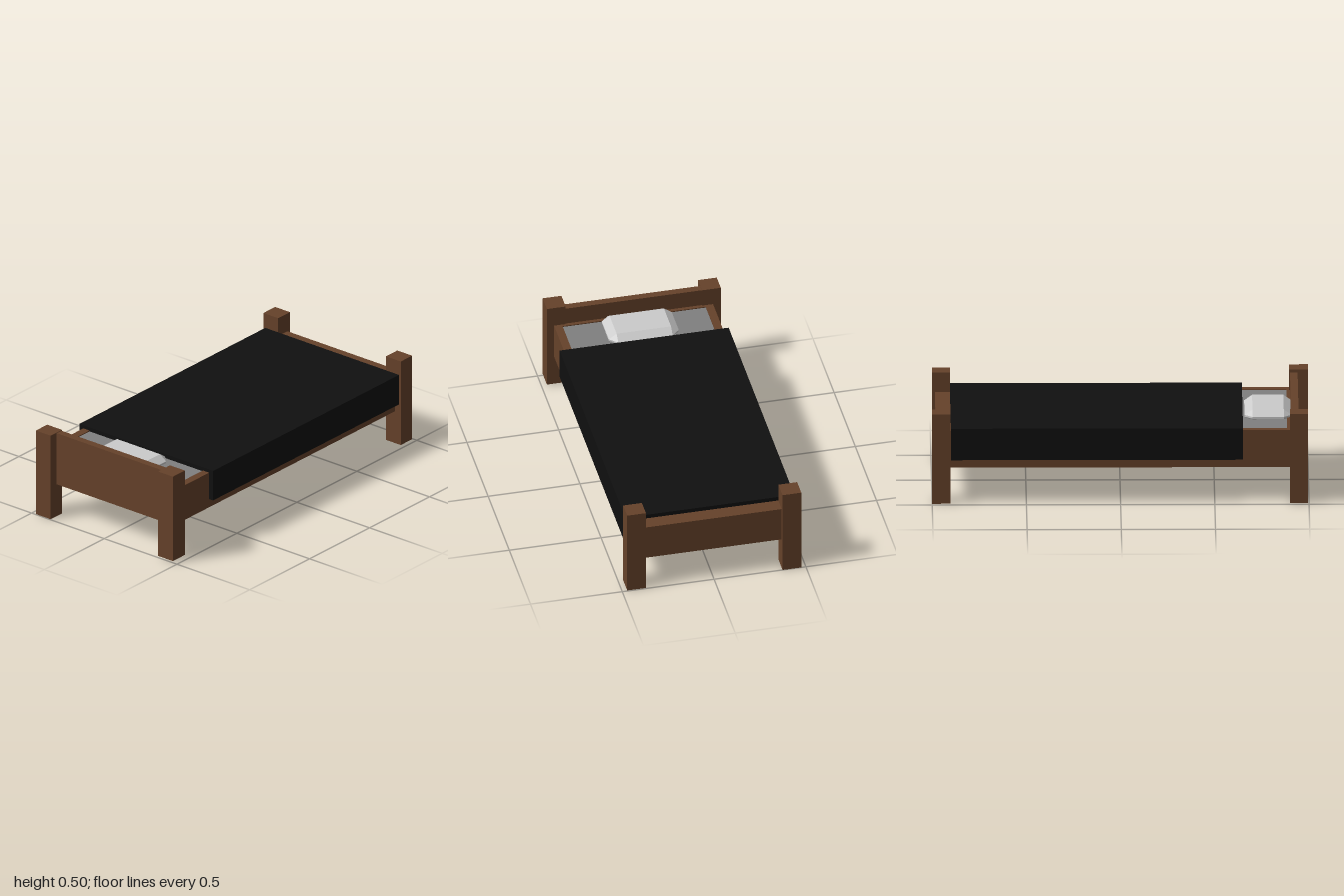
import * as THREE from 'three';
import { ConvexGeometry } from 'three/addons/geometries/ConvexGeometry.js';

const paint = (color) => new THREE.MeshStandardMaterial({ color, flatShading: true });

export function createModel() {
  const bed = new THREE.Group();
  bed.name = 'bed';
  const wood = paint(0x66422a);
  const black = paint(0x101010);
  const sheet = paint(0x808080);
  const white = paint(0xcccccc);

  // Box given by its lower and upper limits on each axis
  function box(name, material, [x0, x1], [y0, y1], [z0, z1]) {
    const mesh = new THREE.Mesh(new THREE.BoxGeometry(x1 - x0, y1 - y0, z1 - z0), material);
    mesh.position.set((x0 + x1) / 2, (y0 + y1) / 2, (z0 + z1) / 2);
    mesh.name = name;
    bed.add(mesh);
  }

  // Corner posts; the front head post stands slightly proud
  box('headPostFront', wood, [-1, -0.9], [0.01, 0.505], [0.37, 0.472]);
  box('headPostBack', wood, [-0.995, -0.9], [0, 0.49], [-0.475, -0.373]);
  box('footPostFront', wood, [0.9, 0.995], [0, 0.49], [0.37, 0.472]);
  box('footPostBack', wood, [0.902, 1], [0, 0.49], [-0.475, -0.373]);

  // End boards between the posts
  box('headboard', wood, [-0.945, -0.905], [0.187, 0.487], [-0.4, 0.4]);
  box('footboard', wood, [0.94, 0.98], [0.187, 0.385], [-0.4, 0.4]);

  // Frame: base panel, side rails and end rails
  box('basePanel', wood, [-0.905, 0.94], [0.187, 0.23], [-0.39, 0.39]);
  for (const [name, s] of [['railFront', 1], ['railBack', -1]]) {
    const z = [s * 0.39, s * 0.433].sort((a, b) => a - b);
    box(name, wood, [-0.905, 0.94], [0.187, 0.39], z);
  }
  box('headRail', wood, [-0.905, -0.885], [0.23, 0.39], [-0.39, 0.39]);
  box('footRail', wood, [0.9, 0.94], [0.23, 0.385], [-0.39, 0.39]);

  // Bedding
  box('mattress', sheet, [-0.885, 0.9], [0.23, 0.385], [-0.39, 0.39]);
  box('blanket', black, [-0.65, 0.9], [0.235, 0.408], [-0.46, 0.46]);

  // Pillow: a box with every edge bevelled
  const points = [];
  const hx = 0.125, hy = 0.035, hz = 0.19, bevel = 0.042, bevelY = 0.03;
  for (const sx of [-1, 1]) for (const sy of [-1, 1]) for (const sz of [-1, 1]) {
    const add = (x, y, z) => points.push(new THREE.Vector3(sx * x, sy * y, sz * z));
    add(hx, hy - bevelY, hz - bevel);
    add(hx - bevel, hy, hz - bevel);
    add(hx - bevel, hy - bevelY, hz);
  }
  const pillow = new THREE.Mesh(new ConvexGeometry(points), white);
  pillow.name = 'pillow';
  pillow.position.set(-0.785, 0.394, -0.01);
  bed.add(pillow);

  return bed;
}
